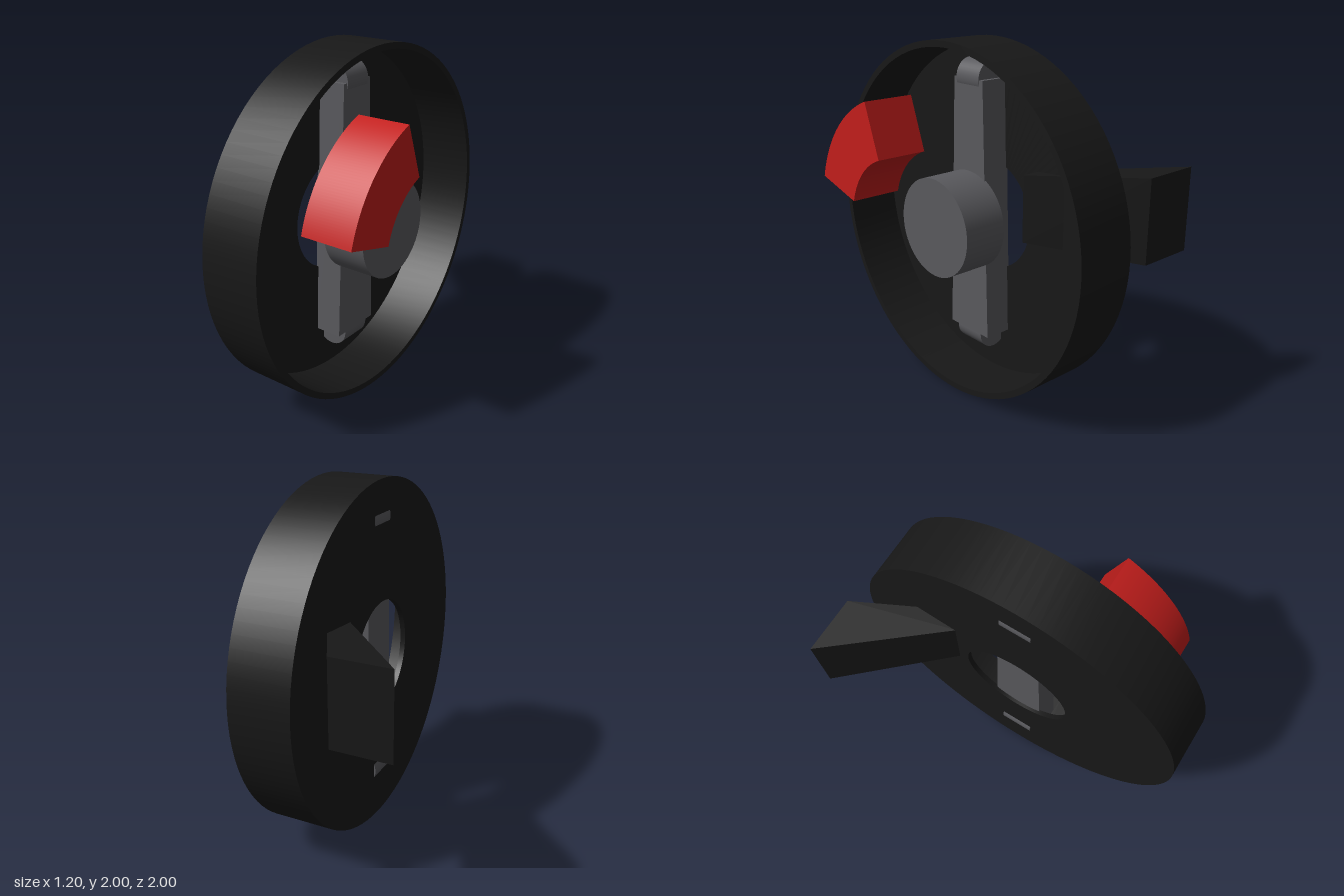
import * as THREE from 'three';
import { toCreasedNormals } from 'three/addons/utils/BufferGeometryUtils.js';

const black = new THREE.MeshStandardMaterial({ color: 0x181818 });
const grey = new THREE.MeshStandardMaterial({ color: 0x5a5a5e });
const red = new THREE.MeshStandardMaterial({ color: 0xc41e1c });
const lerp = THREE.MathUtils.lerp;

// Unit box whose corners are moved by a rule taking (u, v, w) in 0..1
function warpedBox(rule) {
  const geo = new THREE.BoxGeometry(1, 1, 1);
  const pos = geo.attributes.position;
  for (let i = 0; i < pos.count; i++) {
    pos.setXYZ(i, ...rule(pos.getX(i) + 0.5, pos.getY(i) + 0.5, pos.getZ(i) + 0.5));
  }
  geo.computeVertexNormals();
  return geo;
}

export function createModel() {
  const group = new THREE.Group();
  const add = (name, geo, mat) => {
    const mesh = new THREE.Mesh(geo, mat);
    mesh.name = name;
    group.add(mesh);
    return mesh;
  };

  // Shallow dish: thin back plate with a centre hole and a raised rim, axis along x
  const profile = [
    [0.325, -0.09], [1, -0.09], [1, 0.265], [0.965, 0.265],
    [0.965, -0.06], [0.325, -0.06], [0.325, -0.09],
  ].map(([r, h]) => new THREE.Vector2(r, h));
  const dishGeo = toCreasedNormals(new THREE.LatheGeometry(profile, 96), 0.6);
  dishGeo.rotateZ(-Math.PI / 2);
  add('dish', dishGeo, black).position.y = 1;

  // Upright bar across the dish, wider at the bottom
  add('crossBar', warpedBox((u, v, w) => [
    lerp(-0.07, 0.1, u),
    lerp(0.31, 1.79, v),
    (w * 2 - 1) * lerp(0.16, 0.115, v),
  ]), grey);

  // Rounded pins at the bar ends, poking through the plate
  for (const [name, x, y, length] of [['topPin', 0.006, 1.79, 0.18], ['bottomPin', 0, 0.305, 0.2]]) {
    const pin = new THREE.CylinderGeometry(0.1, 0.1, length, 40).rotateX(Math.PI / 2);
    add(name, pin, grey).position.set(x, y, 0);
  }

  // Central hub
  const hubGeo = new THREE.CylinderGeometry(0.28, 0.28, 0.26, 64).rotateZ(-Math.PI / 2);
  add('hub', hubGeo, grey).position.set(0.22, 1, 0);

  // Red curved block: a ring sector in front of the dish
  const a0 = THREE.MathUtils.degToRad(110), a1 = THREE.MathUtils.degToRad(165);
  const sector = new THREE.Shape();
  sector.absarc(0, 0, 0.735, a0, a1, false);
  sector.absarc(0, 0, 0.42, a1, a0, true);
  sector.closePath();
  const padGeo = toCreasedNormals(
    new THREE.ExtrudeGeometry(sector, { depth: 0.3, bevelEnabled: false, curveSegments: 24 }), 0.6);
  padGeo.rotateY(Math.PI / 2);
  add('curvedPad', padGeo, red).position.set(0.295, 1, 0);

  // Slanted bracket running back and outward through the plate
  add('bracket', warpedBox((u, v, w) => [
    lerp(lerp(-0.6, -0.085, w), lerp(-0.27, 0.047, w), u),
    lerp(lerp(0.91, 0.95, w), lerp(1.375, 1.325, w), v),
    lerp(-0.96, -0.38, w),
  ]), black);

  return group;
}
